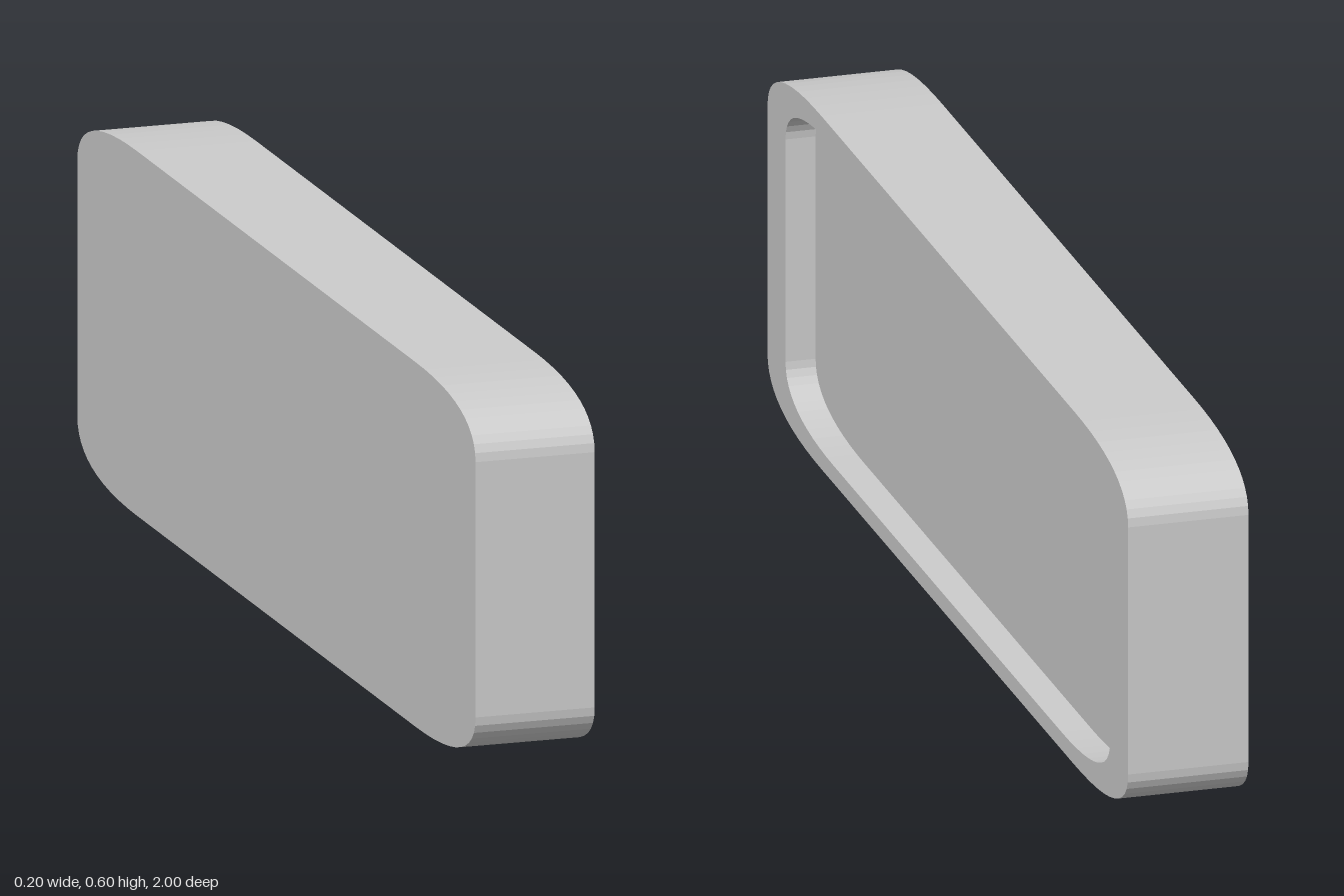
import * as THREE from 'three';
import { mergeGeometries } from 'three/addons/utils/BufferGeometryUtils.js';

// Rounded slab outline, drawn as (length, height) and scaled about its centre
function outline(s) {
  const L = 1 * s, H = 0.3 * s, rl = 0.3 * s, rh = 0.09 * s;
  const o = new THREE.Shape();
  o.moveTo(-L + rl, -H);
  o.lineTo(L - rl, -H);
  o.quadraticCurveTo(L, -H, L, -H + rh);
  o.lineTo(L, H - rh);
  o.quadraticCurveTo(L, H, L - rl, H);
  o.lineTo(-L + rl, H);
  o.quadraticCurveTo(-L, H, -L, H - rh);
  o.lineTo(-L, -H + rh);
  o.quadraticCurveTo(-L, -H, -L + rl, -H);
  return o;
}

// Flat face at a given depth; flip turns it to look the other way
function face(shape, depth, flip = false) {
  const g = new THREE.ShapeGeometry(shape, 12);
  if (flip) g.rotateY(Math.PI);
  return g.translate(0, 0, depth).toNonIndexed();
}

// Wall along an outline; swapping the two depths makes it face inwards
function wall(shape, d0, d1) {
  const pts = shape.getPoints(12), v = [];
  for (let i = 0; i < pts.length - 1; i++) {
    const p = pts[i], q = pts[i + 1];
    v.push(p.x, p.y, d0, q.x, q.y, d0, q.x, q.y, d1);
    v.push(p.x, p.y, d0, q.x, q.y, d1, p.x, p.y, d1);
  }
  const g = new THREE.BufferGeometry();
  g.setAttribute('position', new THREE.Float32BufferAttribute(v, 3));
  return g;
}

export function createModel() {
  const group = new THREE.Group();
  group.name = 'recessedPanel';
  const material = new THREE.MeshStandardMaterial({ color: 0xcccccc });

  const add = (name, parts) => {
    for (const g of parts) {
      g.deleteAttribute('uv');
      g.computeVertexNormals();
    }
    const geometry = mergeGeometries(parts);
    geometry.rotateY(Math.PI / 2).translate(0, 0.3, 0); // depth runs along x
    const mesh = new THREE.Mesh(geometry, material);
    mesh.name = name;
    group.add(mesh);
  };

  const outer = outline(1), inner = outline(0.9);
  const rim = outline(1);
  rim.holes.push(inner);

  // Outer body: back face, edge wall and raised rim
  add('body', [face(outer, -0.1, true), wall(outer, -0.1, 0.1), face(rim, 0.1)]);
  // Shallow recess: floor and inward-facing wall
  add('recess', [face(inner, 0.05), wall(inner, 0.1, 0.05)]);

  return group;
}
